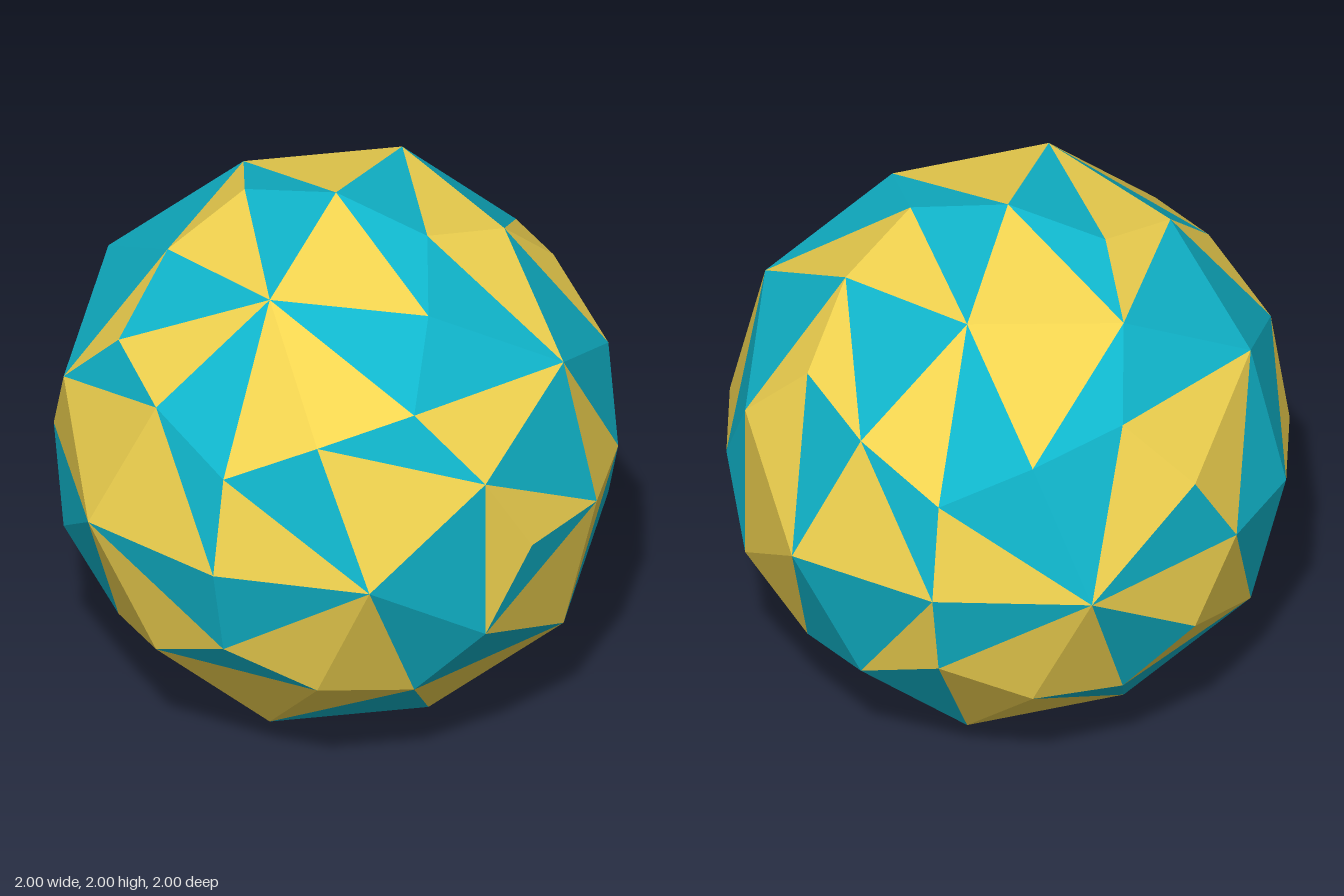
import * as THREE from 'three';

const PHI = (1 + Math.sqrt(5)) / 2;
const EDGE = PHI ** 3 / 2;

// all sign variants of a point, in its three cyclic axis orders
function spread(a, b, c) {
  const out = new Map();
  for (const [x, y, z] of [[a, b, c], [c, a, b], [b, c, a]]) {
    for (let s = 0; s < 8; s++) {
      const v = new THREE.Vector3(s & 1 ? -x : x, s & 2 ? -y : y, s & 4 ? -z : z);
      out.set(v.toArray().map((n) => Math.round(n * 1000) + 0).join(), v);
    }
  }
  return [...out.values()];
}

// corner families of the sixty-kite solid
const k3 = PHI ** 3 / (1 + PHI ** 5);
const cube = k3 * Math.sqrt((1 + PHI ** 4) / 3);
const threes = [...spread(0, k3, k3 * PHI ** 2), ...spread(cube, cube, cube)];
const fours = [...spread(0, 0, 1), ...spread(PHI - 1, 1, PHI).map((v) => v.multiplyScalar(0.5))];
const k5 = PHI ** 3 / (PHI ** 3 + 1 / PHI);

// five-way corners by sign, each with the colour split of its five kites:
// 0/2 = split lengthwise, 1/3 = split crosswise
const S = 1 / PHI;
const fives = [
  [0, 1, S, '22203'], [0, 1, -S, '21033'], [0, -1, S, '32102'], [0, -1, -S, '02023'],
  [S, 0, 1, '22013'], [-S, 0, 1, '30203'], [S, 0, -1, '23013'], [-S, 0, -1, '22000'],
  [1, S, 0, '02101'], [1, -S, 0, '32232'], [-1, S, 0, '12011'], [-1, -S, 0, '20233'],
];

const nearest = (list, p, count) =>
  [...list].sort((a, b) => a.distanceTo(p) - b.distanceTo(p)).slice(0, count);

// angle of a point round a corner, counter-clockwise from straight up
function angleRound(corner, p) {
  const n = corner.clone().normalize();
  const right = new THREE.Vector3(0, 1, 0).cross(n).normalize();
  const up = n.clone().cross(right);
  const turn = Math.atan2(-p.dot(right), p.dot(up));
  return (turn + 0.1 + Math.PI * 2) % (Math.PI * 2);
}

function facetMesh(name, color, points) {
  const geometry = new THREE.BufferGeometry().setFromPoints(points);
  geometry.computeVertexNormals();
  const mesh = new THREE.Mesh(geometry, new THREE.MeshStandardMaterial({ color, flatShading: true }));
  mesh.name = name;
  return mesh;
}

export function createModel() {
  const yellow = [];
  const blue = [];

  for (const [x, y, z, splits] of fives) {
    const five = new THREE.Vector3(x, y, z).multiplyScalar(k5);
    const ring = nearest(threes, five, 5);
    ring.sort((a, b) => angleRound(five, a) - angleRound(five, b));
    ring.forEach((three, i) => {
      // kite corners, counter-clockwise from outside
      const middle = five.clone().add(three).multiplyScalar(0.5);
      let [a, b] = nearest(fours, middle, 2);
      const facing = a.clone().sub(five).cross(three.clone().sub(five)).dot(five);
      if (facing < 0) [a, b] = [b, a];
      const kite = [five, a, three, b];
      const at = (k) => kite[(Number(splits[i]) + k) % 4];
      yellow.push(at(0), at(1), at(2));
      blue.push(at(0), at(2), at(3));
    });
  }

  const model = new THREE.Group();
  model.name = 'kiteFacedBall';
  const ball = new THREE.Group();
  ball.name = 'facets';
  ball.position.y = 1;
  ball.add(facetMesh('yellowFacets', 0xf2d450, yellow), facetMesh('blueFacets', 0x10b6cc, blue));
  model.add(ball);
  return model;
}
